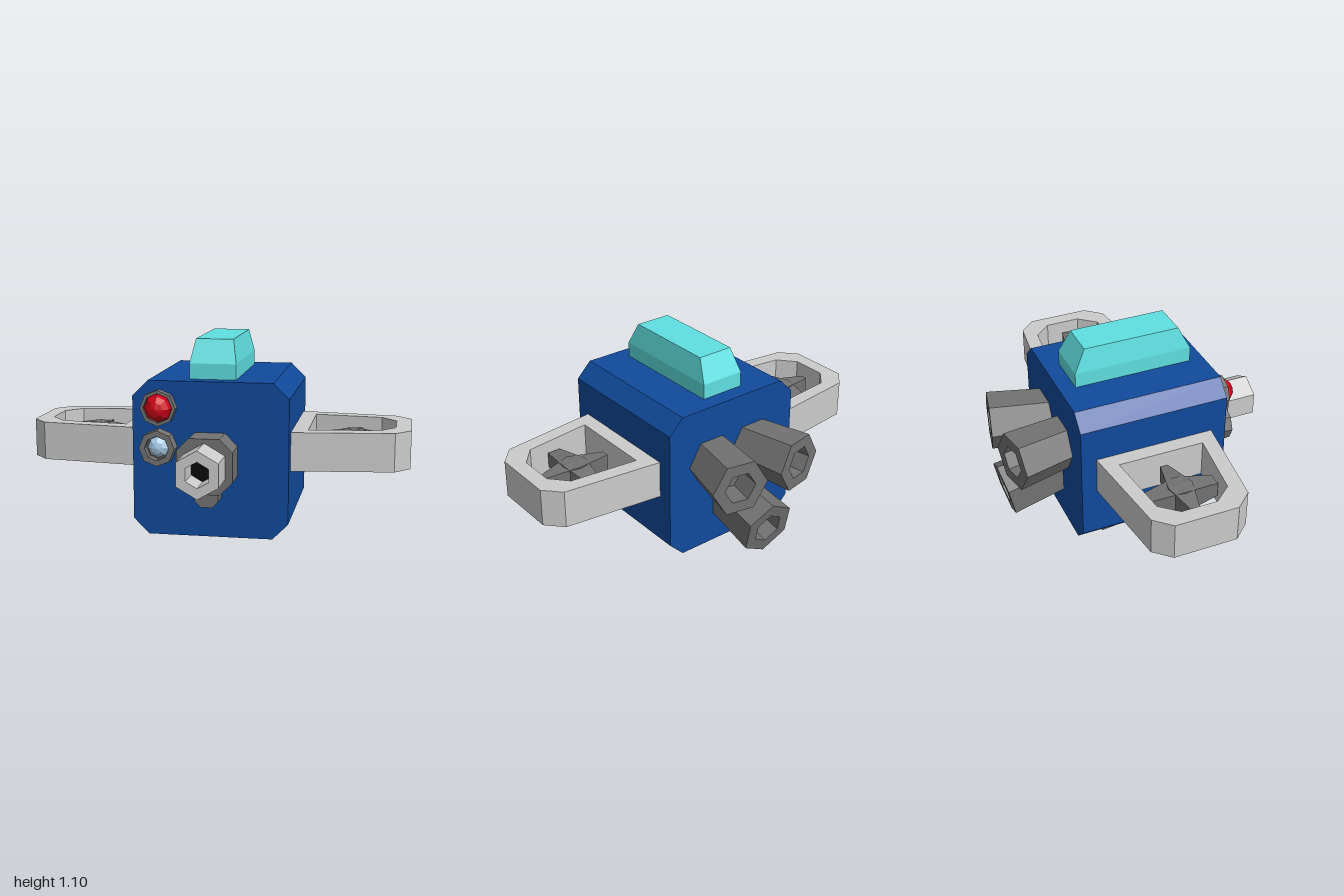
import * as THREE from 'three';

const material = (color) => new THREE.MeshStandardMaterial({ color, flatShading: true });

export function createModel() {
  const model = new THREE.Group();
  const light = material(0xbebebe), dark = material(0x727272), blue = material(0x104a9c);
  const cyan = material(0x5fdfe0), red = material(0xd00018), pale = material(0xa9cdea), black = material(0x080808);

  const add = (name, geometry, mat, x = 0, y = 0, z = 0, parent = model) => {
    const mesh = new THREE.Mesh(geometry, mat);
    mesh.name = name;
    mesh.position.set(x, y, z);
    parent.add(mesh);
    return mesh;
  };
  const points = (list, s = 1) => list.map(([x, y]) => new THREE.Vector2(x * s, y));
  const extrude = (shape, depth) => new THREE.ExtrudeGeometry(shape, { depth, bevelEnabled: false });

  // Block along z with its four long edges cut off
  const chamferedBlock = (half, cut, depth) => {
    const a = half, b = half - cut;
    return extrude(new THREE.Shape(points(
      [[a, -b], [a, b], [b, a], [-b, a], [-a, b], [-a, -b], [-b, -a], [b, -a]])), depth);
  };
  // Faceted tube pointing along +y with a blind hole in its far end
  const tube = (r0, r1, length, bore, depth, sides, turn = 0) => new THREE.LatheGeometry(points(
    [[0, 0], [r0, 0], [r1, length], [bore, length], [bore, length - depth], [0, length - depth]]), sides, turn);

  // Body and canopy
  add('body', chamferedBlock(0.4, 0.08, 0.8), blue, 0, 0.5, -0.41);
  const canopy = new THREE.BoxGeometry(0.24, 0.2, 0.637, 1, 2, 1);
  const cp = canopy.attributes.position;
  for (let i = 0; i < cp.count; i++) {
    if (cp.getY(i) > 0.05) cp.setXYZ(i, cp.getX(i) * 0.81, 0.1, cp.getZ(i) * 0.81);
    else if (cp.getY(i) > -0.05) cp.setY(i, -0.02);
  }
  add('canopy', canopy, cyan, 0, 1, -0.007);

  // Wing frames, each around a four-pointed rotor
  const outline = [[0.39, -0.33], [0.92, -0.265], [1, -0.18], [1, 0.155], [0.92, 0.245], [0.39, 0.31]];
  const opening = [[0.48, 0.22], [0.84, 0.175], [0.92, 0.08], [0.92, -0.11], [0.84, -0.2], [0.48, -0.24]];
  // Bar along x, tapering from its middle to both tips
  const rotorBar = (tipHeight, tipWidth) => {
    const g = new THREE.BoxGeometry(0.38, 0.13, 0.13, 2, 1, 1);
    const p = g.attributes.position;
    for (let i = 0; i < p.count; i++) {
      if (Math.abs(p.getX(i)) > 0.1) {
        p.setY(i, Math.sign(p.getY(i)) * tipHeight);
        p.setZ(i, Math.sign(p.getZ(i)) * tipWidth);
      }
    }
    return g;
  };
  for (const s of [1, -1]) {
    const side = s > 0 ? 'left' : 'right';
    const shape = new THREE.Shape(points(outline, s));
    shape.holes.push(new THREE.Path(points(opening, s)));
    add(side + 'WingFrame', extrude(shape, 0.2).rotateX(Math.PI / 2), light, 0, 0.64, 0);
    const rotor = new THREE.Group();
    rotor.name = side + 'Rotor';
    rotor.position.set(0.7 * s, 0.54, -0.01);
    add('rotorBar', rotorBar(0.045, 0.02), dark, 0, 0, 0, rotor);
    add('rotorCrossBar', rotorBar(0.04, 0.036), dark, 0, 0, 0, rotor).rotation.y = Math.PI / 2;
    model.add(rotor);

    // Sloping feet
    const foot = add(side + 'Foot', new THREE.BoxGeometry(0.135, 0.15, 0.478), dark, 0.158 * s, 0.102, -0.006);
    foot.rotation.x = -0.118;

    // Upper exhausts, splayed outwards
    const exhaust = add(side + 'Exhaust',
      tube(0.135, 0.152, 0.35, 0.085, 0.14, 6, Math.PI / 6).rotateX(-Math.PI / 2),
      dark, 0.125 * s, 0.595, -0.36);
    exhaust.rotation.y = -0.198 * s;
  }

  // Lower exhaust, tilted down
  const lower = add('lowerExhaust', tube(0.135, 0.153, 0.35, 0.085, 0.14, 6).rotateX(-Math.PI / 2),
    dark, 0, 0.35, -0.36);
  lower.rotation.x = -0.205;

  // Front nozzle
  add('nozzleBase', chamferedBlock(0.141, 0.064, 0.17), dark, 0, 0.5, 0.38);
  add('nozzle', tube(0.12, 0.12, 0.2, 0.065, 0.14, 6).rotateX(Math.PI / 2), light, 0, 0.5, 0.53);
  add('nozzleBore', new THREE.CircleGeometry(0.064, 6, Math.PI / 6), black, 0, 0.5, 0.592);
  add('nozzleSupport', chamferedBlock(0.06, 0.03, 0.115), dark, 0, 0.34, 0.38);

  // Front lamps in octagonal sockets
  const ball = (r) => new THREE.SphereGeometry(r, 8, 6).rotateX(Math.PI / 2);
  const socket = (length, bore) => tube(0.092, 0.092, length, bore, 0.045, 8).rotateX(Math.PI / 2);
  add('redLampSocket', socket(0.055, 0.075), dark, -0.26, 0.765, 0.38);
  add('redLamp', ball(0.074), red, -0.26, 0.765, 0.418);
  add('paleLampSocket', socket(0.083, 0.062), dark, -0.26, 0.565, 0.38);
  add('paleLamp', ball(0.06), pale, -0.26, 0.565, 0.4);

  return model;
}
